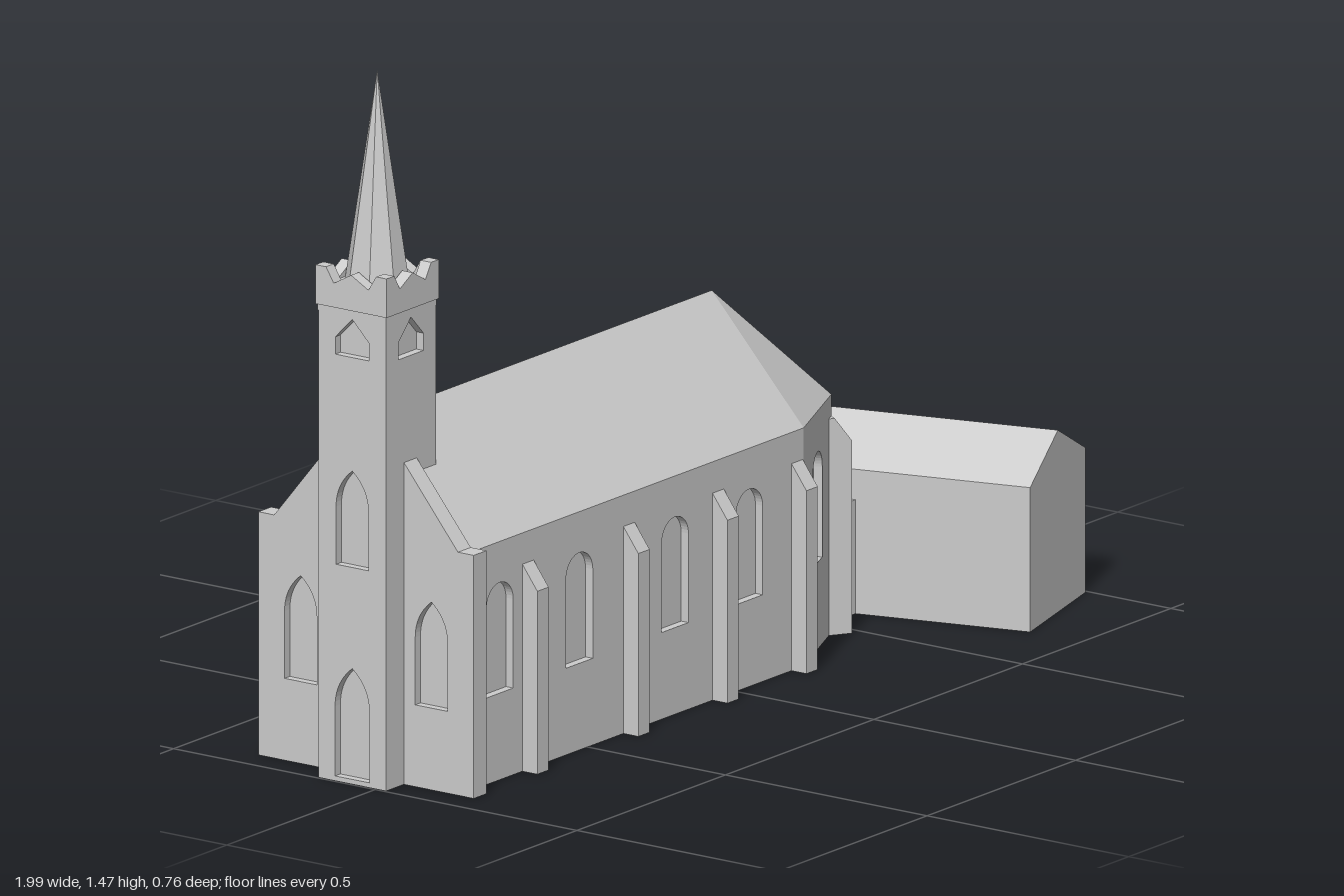
import * as THREE from 'three';

const stone = new THREE.MeshStandardMaterial({ color: 0xcccccc });
stone.name = 'pale stone';

const AXIS = -0.07;   // z of the nave ridge
const HALF = 0.228;   // half width of the nave
const EAVE = 0.495, RIDGE = 0.742;
const WEST = -0.893, BEND = 0.228, EAST = 0.457, END = 0.128;

function add(parent, geometry, name, x = 0, y = 0, z = 0) {
  const mesh = new THREE.Mesh(geometry, stone);
  mesh.name = name;
  mesh.position.set(x, y, z);
  parent.add(mesh);
  return mesh;
}

const box = (w, h, d) => new THREE.BoxGeometry(w, h, d);
const polygon = pts => new THREE.Shape(pts.map(p => new THREE.Vector2(...p)));
const extrude = (shape, depth) =>
  new THREE.ExtrudeGeometry(shape, { depth, bevelEnabled: false, curveSegments: 10 });

// Openings, all centred on u
function roundWindow(u, w = 0.09, y0 = 0.18, y1 = 0.41) {
  const p = new THREE.Path();
  p.moveTo(u - w / 2, y0);
  p.lineTo(u + w / 2, y0);
  p.absarc(u, y1 - w / 2, w / 2, 0, Math.PI, false);
  p.closePath();
  return p;
}
function pointedWindow(u, w, y0, y1) {
  const p = new THREE.Path(), spring = y1 - w;
  p.moveTo(u - w / 2, y0);
  p.lineTo(u + w / 2, y0);
  p.lineTo(u + w / 2, spring);
  p.quadraticCurveTo(u + w / 2, spring + w * 0.6, u, y1);
  p.quadraticCurveTo(u - w / 2, spring + w * 0.6, u - w / 2, spring);
  return p;
}
const belfryWindow = u => new THREE.Path([[-0.042, 0.886], [0.042, 0.886], [0.042, 0.922],
  [0, 0.965], [-0.042, 0.922]].map(([x, y]) => new THREE.Vector2(u + x, y)));

// A wall from a to b (x, z): an outer leaf with openings and a solid leaf behind
function wall(parent, name, a, b, outline, holes = [], back = 0.01, leaf = 0.018) {
  const g = new THREE.Group();
  g.name = name;
  g.position.set(a[0], 0, a[1]);
  g.rotation.y = Math.atan2(a[1] - b[1], b[0] - a[0]);
  const outer = polygon(outline);
  outer.holes.push(...holes);
  add(g, extrude(outer, leaf), name + 'Face', 0, 0, -leaf);
  add(g, extrude(polygon(outline), back), name + 'Backing', 0, 0, -leaf - back);
  parent.add(g);
}
const rect = (w, h) => [[0, 0], [w, 0], [w, h], [0, h]];

// A buttress with a sloping cap, pointing along (dx, dz)
function buttress(parent, x, z, dx, dz, top) {
  const profile = polygon([[-0.02, 0], [0.037, 0], [0.037, top - 0.05], [0, top], [-0.02, top]]);
  const geo = extrude(profile, 0.038).translate(0, 0, -0.019);
  add(parent, geo, 'buttress', x, 0, z).rotation.y = -Math.atan2(dz, dx);
}

// Flat faces from corner loops listed counter-clockwise
function faces(loops) {
  const pos = [];
  for (const l of loops)
    for (let i = 1; i < l.length - 1; i++) pos.push(...l[0], ...l[i], ...l[i + 1]);
  const g = new THREE.BufferGeometry();
  g.setAttribute('position', new THREE.Float32BufferAttribute(pos, 3));
  g.computeVertexNormals();
  return g;
}

function buildNave(root) {
  const nave = new THREE.Group();
  nave.name = 'nave';
  root.add(nave);

  // Plan, walked front side first, then round the apse
  const plan = [[WEST, AXIS + HALF], [BEND, AXIS + HALF], [EAST, AXIS + END],
    [EAST, AXIS - END], [BEND, AXIS - HALF], [WEST, AXIS - HALF]];
  const windows = [-0.795, -0.527, -0.205, 0.045];
  const slant = Math.hypot(EAST - BEND, HALF - END);
  const openings = [windows.map(x => roundWindow(x - WEST)), [roundWindow(slant / 2, 0.086)], [],
    [roundWindow(slant / 2, 0.086)], windows.map(x => roundWindow(BEND - x))];
  const names = ['frontWall', 'apseFrontWall', 'apseEndWall', 'apseBackWall', 'backWall'];
  names.forEach((name, i) => {
    const a = plan[i], b = plan[i + 1];
    wall(nave, name, a, b, rect(Math.hypot(b[0] - a[0], b[1] - a[1]), EAVE), openings[i]);
  });

  // Roof with three hips over the apse, and the floor
  const [p0, p1, p2, p3, p4, p5] = plan.map(([x, z]) => [x, EAVE, z]);
  const r0 = [WEST, RIDGE, AXIS], r1 = [BEND, RIDGE, AXIS];
  add(nave, faces([[p0, p1, r1, r0], [p1, p2, r1], [p2, p3, r1], [p3, p4, r1], [p4, p5, r0, r1]]), 'roof');
  add(nave, faces([plan.map(([x, z]) => [x, 0, z]).reverse()]), 'floor');

  // Buttresses
  for (const s of [1, -1]) {
    for (const x of [-0.7, -0.36, -0.06, 0.206])
      buttress(nave, x, AXIS + s * HALF, 0, s, 0.43);
    buttress(nave, EAST, AXIS + s * END, 0.84, s * 0.54, 0.45);
  }
}

function buildFacade(root) {
  // Gable wall with square shoulders, rising above the roof
  const w = 0.267, s = 0.228;
  const outline = [[0, 0], [2 * w, 0], [2 * w, 0.505], [w + s, 0.505], [w, 0.783], [w - s, 0.505], [0, 0.505]];
  wall(root, 'gableWall', [-0.936, AXIS - w], [-0.936, AXIS + w], outline,
    [pointedWindow(0.105, 0.08, 0.17, 0.39), pointedWindow(2 * w - 0.105, 0.08, 0.17, 0.39)], 0.025);
}

function buildTower(root) {
  const tower = new THREE.Group();
  tower.name = 'tower';
  tower.position.set(-0.912, 0, -0.06);
  root.add(tower);

  const ring = h => [[-h, h], [h, h], [h, -h], [-h, -h], [-h, h]];
  const h = 0.084, shaft = ring(h);
  const p = 0.088, crown = ring(p);
  const crest = [[0, 1.0], [2 * p, 1.0], [2 * p, 1.065], [2 * p - 0.026, 1.065], [2 * p - 0.045, 1.034],
    [p, 1.058], [0.045, 1.034], [0.026, 1.065], [0, 1.065]];
  for (let i = 0; i < 4; i++) {
    const holes = [belfryWindow(h)];
    if (i === 3) holes.push(pointedWindow(h, 0.08, 0.45, 0.65), pointedWindow(h, 0.085, 0.01, 0.24));
    wall(tower, 'towerWall', shaft[i], shaft[i + 1], rect(2 * h, 0.98), holes);
    wall(tower, 'parapet', crown[i], crown[i + 1], crest, [], 0.008);
  }
  add(tower, box(2 * h, 0.01, 2 * h), 'towerFloor', 0, 0.005, 0);
  add(tower, box(0.17, 0.014, 0.17), 'corniceNeck', 0, 0.978, 0);
  add(tower, box(2 * p, 0.018, 2 * p), 'cornice', 0, 0.993, 0);
  add(tower, box(0.17, 0.03, 0.17), 'deck', 0, 1.015, 0);

  // Eight-sided spire with a flat face to the front
  const cone = new THREE.ConeGeometry(0.066, 0.437, 8).rotateY(Math.PI / 8).toNonIndexed();
  cone.computeVertexNormals();
  add(tower, cone, 'spire', 0, 1.028 + 0.437 / 2, 0);
}

function buildAnnex(root) {
  // Low flat passage to the turned gabled house
  add(root, box(0.24, 0.237, 0.137), 'passage', 0.55, 0.1185, -0.053);
  const w = 0.155, len = 0.704;
  const end = polygon([[-w, 0], [w, 0], [w, 0.3], [0, 0.378], [-w, 0.3]]);
  const house = add(root, extrude(end, len).translate(0, 0, -len / 2), 'annex', 0.751, 0, -0.005);
  house.rotation.y = 0.269;
}

export function createModel() {
  const root = new THREE.Group();
  root.name = 'church';
  buildNave(root);
  buildFacade(root);
  buildTower(root);
  buildAnnex(root);
  return root;
}
